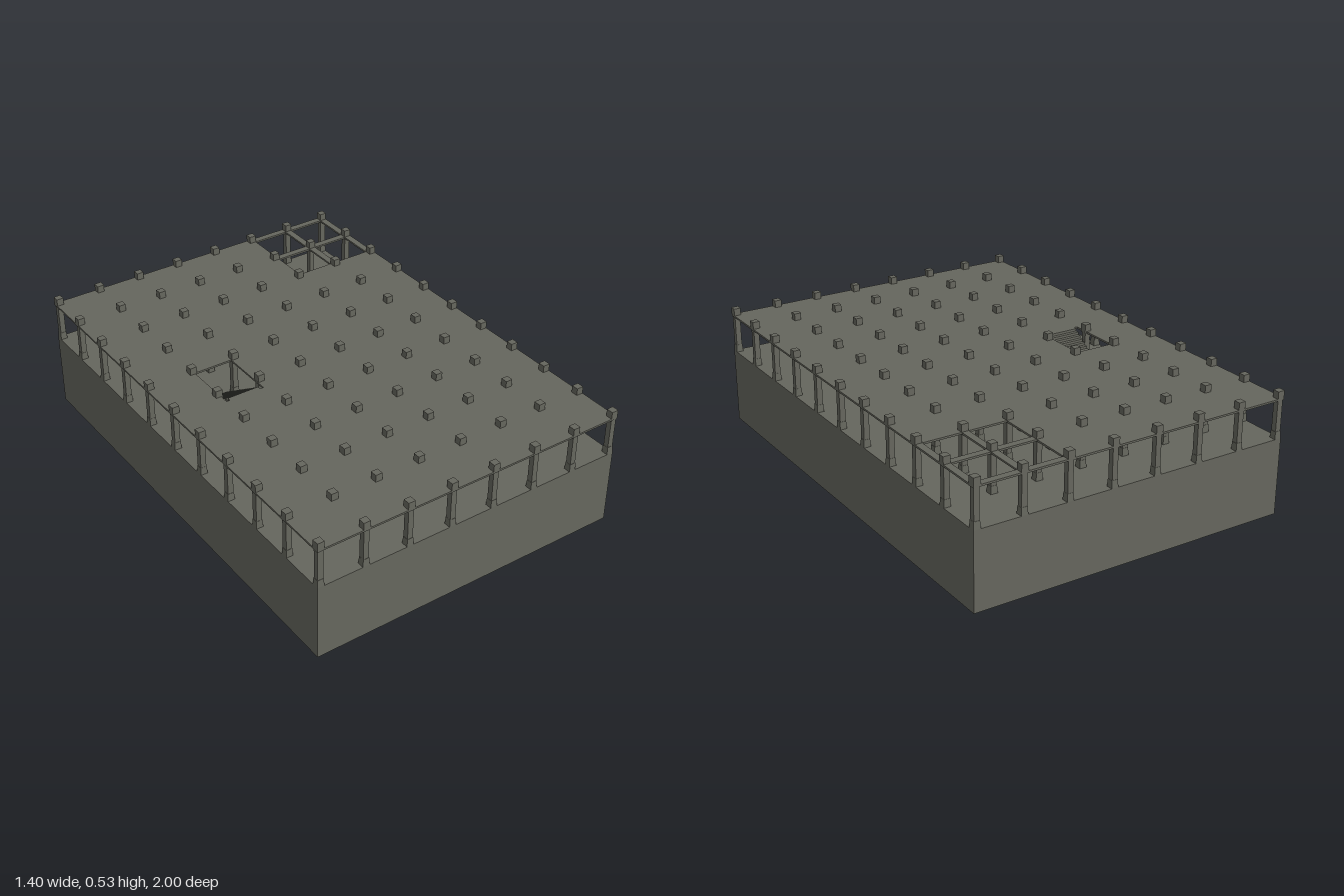
import * as THREE from 'three';

export function createModel() {
  const model = new THREE.Group();
  const concrete = new THREE.MeshStandardMaterial({ color: 0x65665d });
  concrete.name = 'grey concrete';

  function box(name, w, h, d, x, y, z, parent = model) {
    const mesh = new THREE.Mesh(new THREE.BoxGeometry(w, h, d), concrete);
    mesh.name = name;
    mesh.position.set(x, y, z);
    parent.add(mesh);
    return mesh;
  }

  function rectangle(target, x0, x1, z0, z1) {
    // Shape y maps to -z once the slab is laid flat
    target.moveTo(x0, -z1);
    target.lineTo(x1, -z1);
    target.lineTo(x1, -z0);
    target.lineTo(x0, -z0);
    target.closePath();
    return target;
  }

  // Solid ground floor block
  const floorY = 0.33;
  box('baseBlock', 1.404, floorY, 2, 0, floorY / 2, 0);

  // Thin upper slab: four bays left open between beams, plus a stair opening
  const slabTop = 0.5, slabThickness = 0.008;
  const slab = rectangle(new THREE.Shape(), -0.702, 0.702, -1, 1);
  for (const [x0, x1] of [[0.309, 0.475], [0.505, 0.672]])
    for (const [z0, z1] of [[-0.97, -0.803], [-0.773, -0.606]])
      slab.holes.push(rectangle(new THREE.Path(), x0, x1, z0, z1));
  slab.holes.push(rectangle(new THREE.Path(), -0.483, -0.311, -0.188, 0.055));
  const slabGeometry = new THREE.ExtrudeGeometry(slab, { depth: slabThickness, bevelEnabled: false });
  slabGeometry.rotateX(-Math.PI / 2);
  const slabMesh = new THREE.Mesh(slabGeometry, concrete);
  slabMesh.name = 'upperSlab';
  slabMesh.position.y = slabTop - slabThickness;
  model.add(slabMesh);

  // Column grid: tapered foot, slimmer shaft, square head above the slab
  const columns = new THREE.Group();
  columns.name = 'columns';
  model.add(columns);
  const footGeometry = new THREE.CylinderGeometry(0.026 / Math.SQRT2, 0.03 / Math.SQRT2, 0.032, 4);
  footGeometry.rotateY(Math.PI / 4);
  const flatFoot = footGeometry.toNonIndexed();
  flatFoot.computeVertexNormals();
  for (let i = 0; i < 8; i++) {
    for (let j = 0; j < 11; j++) {
      const column = new THREE.Group();
      column.name = 'column';
      column.position.set((i - 3.5) * 0.1963, 0, (j - 5) * 0.197);
      columns.add(column);
      const foot = new THREE.Mesh(flatFoot, concrete);
      foot.name = 'columnFoot';
      foot.position.y = floorY + 0.016;
      column.add(foot);
      box('columnShaft', 0.024, 0.135, 0.024, 0, 0.4295, 0, column);
      box('columnHead', 0.03, 0.037, 0.03, 0, 0.5125, 0, column);
    }
  }

  // Staircase climbing from the floor towards the front
  const stairs = new THREE.Group();
  stairs.name = 'stairs';
  model.add(stairs);
  const count = 16, rise = (slabTop - floorY) / count, run = 0.26 / count;
  for (let i = 0; i < count; i++)
    box('step', 0.141, rise, run, -0.397, floorY + (i + 0.5) * rise, -0.205 + (i + 0.5) * run, stairs);

  return model;
}
